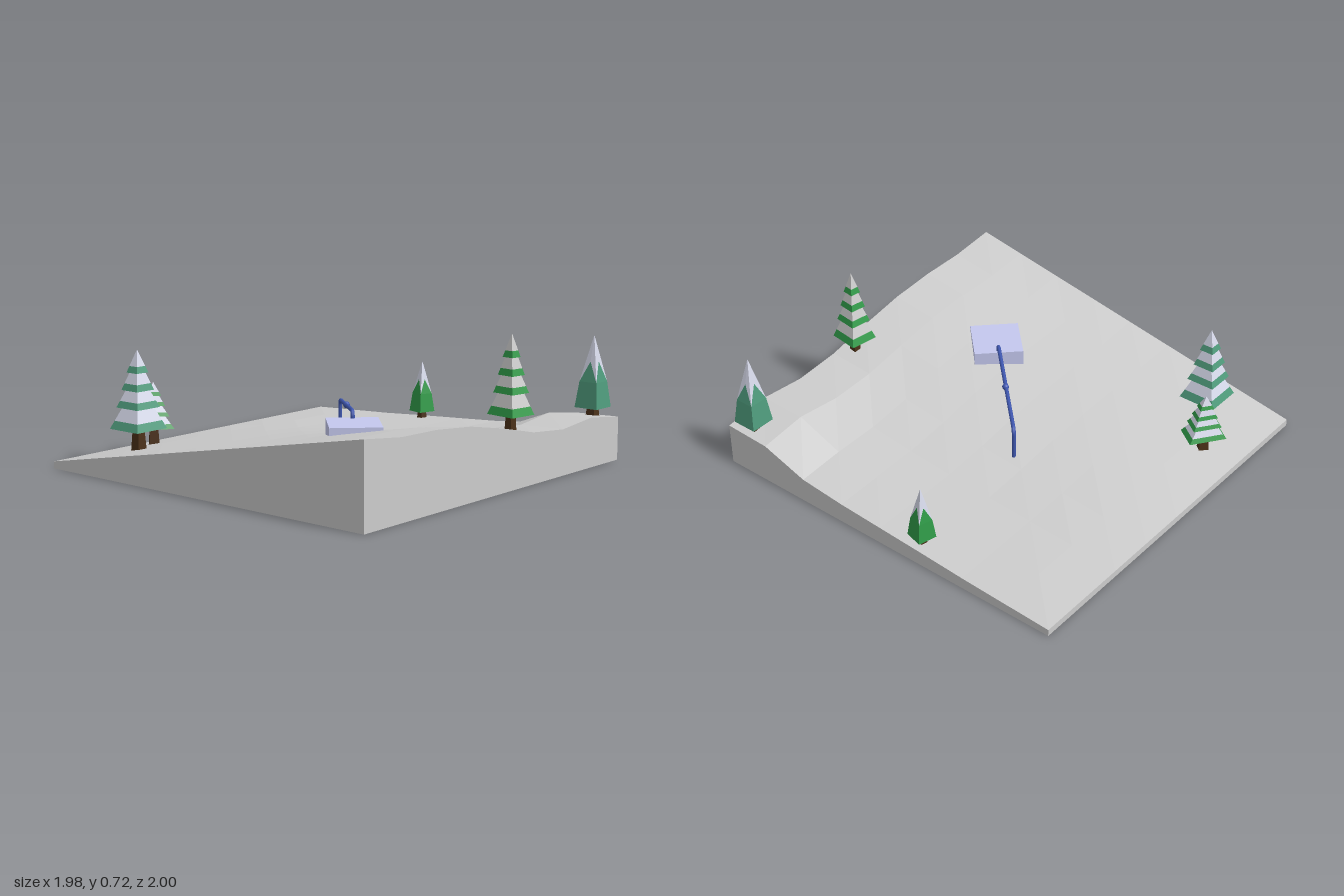
import * as THREE from 'three';

const GREEN = 0x2f9a48, TEAL = 0x4f9b7c, SNOW = 0xd6d9ea, BARK = 0x4a3018;

function part(name, geometry, color, parent) {
  const material = new THREE.MeshStandardMaterial({ color, flatShading: true });
  const mesh = new THREE.Mesh(geometry, material);
  mesh.name = name;
  parent.add(mesh);
  return mesh;
}

// Square frustum, sizes given as half widths, standing from y0 to y1
function frustum(bottom, top, y0, y1) {
  const g = new THREE.CylinderGeometry(top * Math.SQRT2, bottom * Math.SQRT2, y1 - y0, 4);
  return g.rotateY(Math.PI / 4).translate(0, (y0 + y1) / 2, 0);
}

// Ground: front ridge heights fade to a low back edge; the right side has a step
const RIDGE = [0.405, 0.377, 0.372, 0.35, 0.305, 0.25, 0.228, 0.25, 0.22];
const STEP = [0, 0.065, 0.13, 0.22, 0.3, 0.38, 0.51, 0.95, 1];

function groundHeight(i, j) {
  const w = THREE.MathUtils.clamp((i - 4.5) / 2.5, 0, 1);
  const t = THREE.MathUtils.lerp(j / 8, STEP[j], w);
  const inner = i > 0 && i < 8 && j > 0 && j < 8;
  const bump = inner ? 0.006 * Math.sin(i * 12.7 + j * 7.3) : 0;
  return 0.035 + t * (RIDGE[i] - 0.035) + bump;
}

function groundGeometry() {
  const w = 1.975, d = 1.98;
  const box = new THREE.BoxGeometry(w, 1, d, 8, 1, 8);
  const p = box.attributes.position;
  for (let k = 0; k < p.count; k++) {
    const i = Math.round((p.getX(k) / w + 0.5) * 8);
    const j = Math.round((p.getZ(k) / d + 0.5) * 8);
    p.setY(k, p.getY(k) > 0 ? groundHeight(i, j) : 0);
  }
  const g = box.toNonIndexed();
  g.computeVertexNormals();
  return g.translate(-0.0025, 0, -0.01);
}

// Fir with four overlapping tiers, each green at the rim and snowy above
function tieredFir(name, { x, z, base, bottom, top, half, depth = 1, turn = 0, leaf, snow }) {
  const tree = new THREE.Group();
  tree.name = name;
  const h = top - bottom;
  const starts = [0, 0.27, 0.49, 0.71, 1];
  const widths = [1, 0.76, 0.57, 0.38, 0];
  part('trunk', frustum(half * 0.28, half * 0.2, base - 0.03, bottom + 0.01), BARK, tree);
  for (let n = 0; n < 4; n++) {
    const y0 = bottom + h * starts[n], y1 = bottom + h * starts[n + 1];
    const r0 = half * widths[n], r1 = half * widths[n + 1] * 0.72;
    const k = n === 3 ? 0.28 : 0.38;
    const ym = y0 + (y1 - y0) * k, rm = r0 + (r1 - r0) * k;
    part('greenRim', frustum(r0, rm, y0, ym), leaf, tree);
    part('snowTier', frustum(rm, r1, ym, y1), snow, tree);
  }
  tree.position.set(x, 0, z);
  tree.rotation.y = turn;
  tree.scale.z = depth;
  return tree;
}

function triangles(points) {
  const g = new THREE.BufferGeometry().setFromPoints(points);
  g.computeVertexNormals();
  return g;
}

// Plain pointed fir: on each face the green rises to a peak under the snow
function pointedFir(name, { x, z, base, bottom, top, half, turn = 0, leaf, snow }) {
  const tree = new THREE.Group();
  tree.name = name;
  const h = top - bottom, up = new THREE.Vector3(0, 1, 0);
  const green = [], white = [];
  for (let n = 0; n < 4; n++) {
    const v = (a, b, c) => new THREE.Vector3(a, b, c).applyAxisAngle(up, n * Math.PI / 2);
    const m = half * 0.76, q = half * 0.45;
    const b0 = v(-half, bottom, half), b1 = v(half, bottom, half);
    const m0 = v(-m, bottom + h * 0.36, m), m1 = v(m, bottom + h * 0.36, m);
    const peak = v(0, bottom + h * 0.64, q), tip = v(0, top, 0);
    green.push(b0, b1, m1, b0, m1, m0, m0, m1, peak);
    white.push(m0, peak, tip, peak, m1, tip);
    green.push(b1, b0, v(0, bottom, 0));
  }
  part('trunk', frustum(half * 0.42, half * 0.3, base - 0.02, bottom + 0.01), BARK, tree);
  part('greenCrown', triangles(green), leaf, tree);
  part('snowCap', triangles(white), snow, tree);
  tree.position.set(x, 0, z);
  tree.rotation.y = turn;
  return tree;
}

// Bent pipe running down the slope from the slab, with a joint half way
function pipeline() {
  const pipe = new THREE.Group();
  pipe.name = 'pipeline';
  const V = (x, y, z) => new THREE.Vector3(x, y, z);
  const path = new THREE.CurvePath();
  const a = V(0.2, 0.11, -0.175), b = V(0.2, 0.245, -0.175), c = V(0.175, 0.281, -0.149);
  const d = V(-0.225, 0.336, 0.264), e = V(-0.25, 0.31, 0.29), f = V(-0.25, 0.29, 0.29);
  path.add(new THREE.LineCurve3(a, b));
  path.add(new THREE.QuadraticBezierCurve3(b, V(0.2, 0.278, -0.175), c));
  path.add(new THREE.LineCurve3(c, d));
  path.add(new THREE.QuadraticBezierCurve3(d, V(-0.25, 0.339, 0.29), e));
  path.add(new THREE.LineCurve3(e, f));
  const tube = part('pipe', new THREE.TubeGeometry(path, 80, 0.01, 8), 0x3f57b0, pipe);
  tube.material.flatShading = false;
  const joint = part('joint', new THREE.SphereGeometry(0.017, 12, 8), 0x3f57b0, pipe);
  joint.material.flatShading = false;
  joint.position.set(-0.02, 0.308, 0.055);
  return pipe;
}

export function createModel() {
  const model = new THREE.Group();
  model.name = 'snowySlope';
  part('ground', groundGeometry(), 0xcccccc, model);

  // Flat slab half sunk in the slope
  const slab = part('slab', new THREE.BoxGeometry(0.26, 0.1, 0.25), 0xc4c8ee, model);
  slab.position.set(-0.328, 0.253, 0.365);
  slab.rotation.y = Math.PI / 4;

  model.add(
    pipeline(),
    tieredFir('frontFir', { x: 0.155, z: 0.91, base: 0.25, bottom: 0.34, top: 0.72, half: 0.074,
      depth: 1.09, turn: -0.14, leaf: GREEN, snow: 0xcccccc }),
    tieredFir('backFir', { x: -0.72, z: -0.68, base: 0.11, bottom: 0.2, top: 0.59, half: 0.098,
      leaf: TEAL, snow: SNOW }),
    tieredFir('smallBackFir', { x: -0.487, z: -0.82, base: 0.08, bottom: 0.153, top: 0.385, half: 0.095,
      depth: 0.68, turn: -0.62, leaf: GREEN, snow: SNOW }),
    pointedFir('cornerFir', { x: 0.92, z: 0.87, base: 0.215, bottom: 0.265, top: 0.628, half: 0.065,
      leaf: TEAL, snow: SNOW }),
    pointedFir('sideFir', { x: 0.922, z: -0.213, base: 0.08, bottom: 0.115, top: 0.388, half: 0.048,
      turn: -0.26, leaf: GREEN, snow: SNOW }),
  );
  return model;
}
